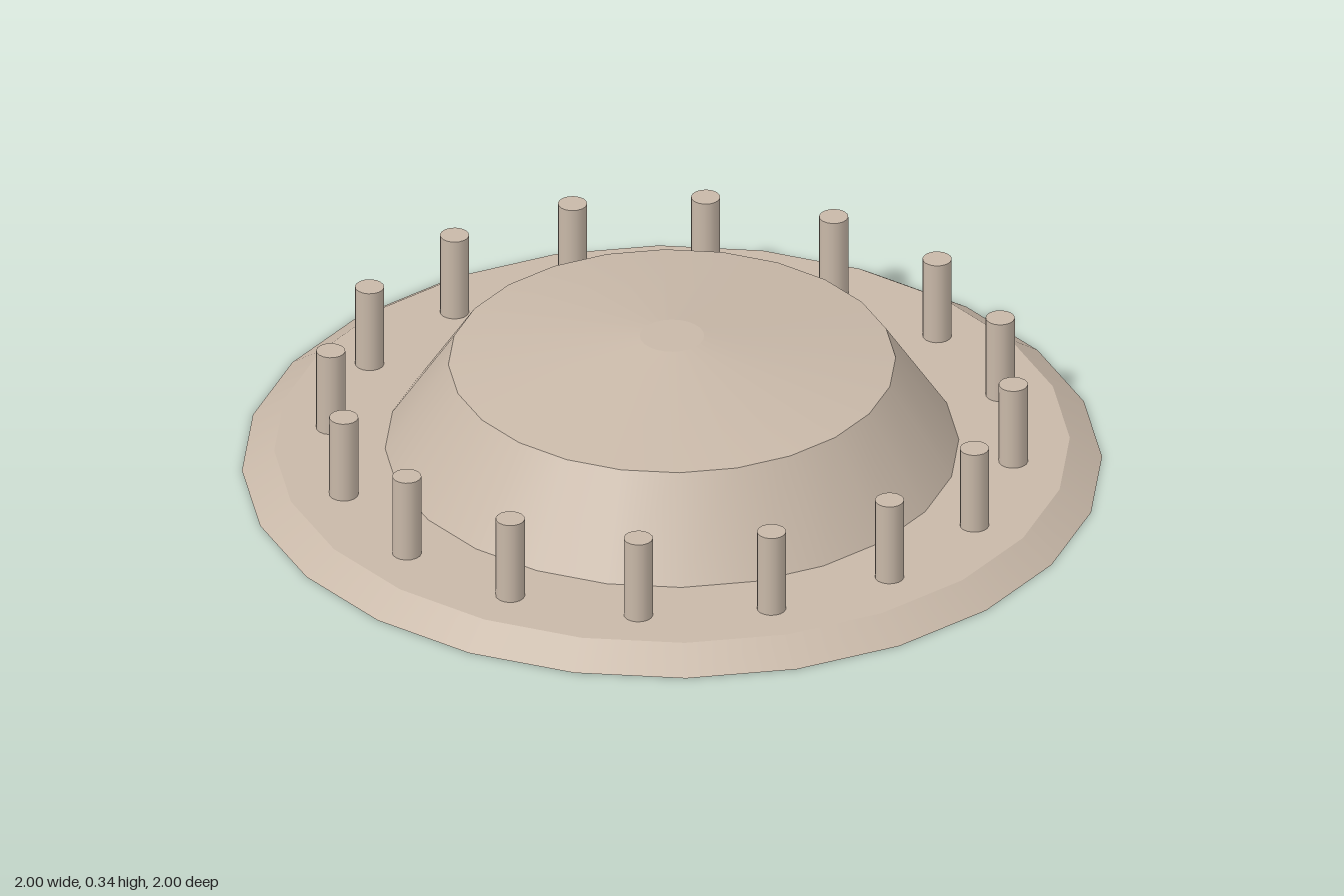
import * as THREE from 'three';

const SIDES = 24;
const STUDS = 16;

export function createModel() {
  const group = new THREE.Group();
  const stone = new THREE.MeshStandardMaterial({ color: 0xc8b8a8 });
  stone.name = 'warm beige';

  // Tapered round section standing between two heights
  function section(name, bottomRadius, topRadius, y0, y1, sides = SIDES, parent = group) {
    const geometry = new THREE.CylinderGeometry(topRadius, bottomRadius, y1 - y0, sides);
    geometry.translate(0, (y0 + y1) / 2, 0);
    const mesh = new THREE.Mesh(geometry, stone);
    mesh.name = name;
    parent.add(mesh);
    return mesh;
  }

  // Bevelled flange, sloped hub and shallow cover with a small flat centre
  section('flange', 1, 0.925, 0, 0.052);
  section('hub', 0.667, 0.52, 0.052, 0.275);
  section('cover', 0.52, 0.075, 0.275, 0.343);

  // Ring of studs on the flange
  const studs = new THREE.Group();
  studs.name = 'studs';
  group.add(studs);
  for (let i = 0; i < STUDS; i++) {
    const a = (i / STUDS) * Math.PI * 2;
    const stud = section('stud', 0.034, 0.034, 0.052, 0.258, 16, studs);
    stud.position.set(Math.sin(a) * 0.797, 0, Math.cos(a) * 0.797);
  }

  return group;
}
